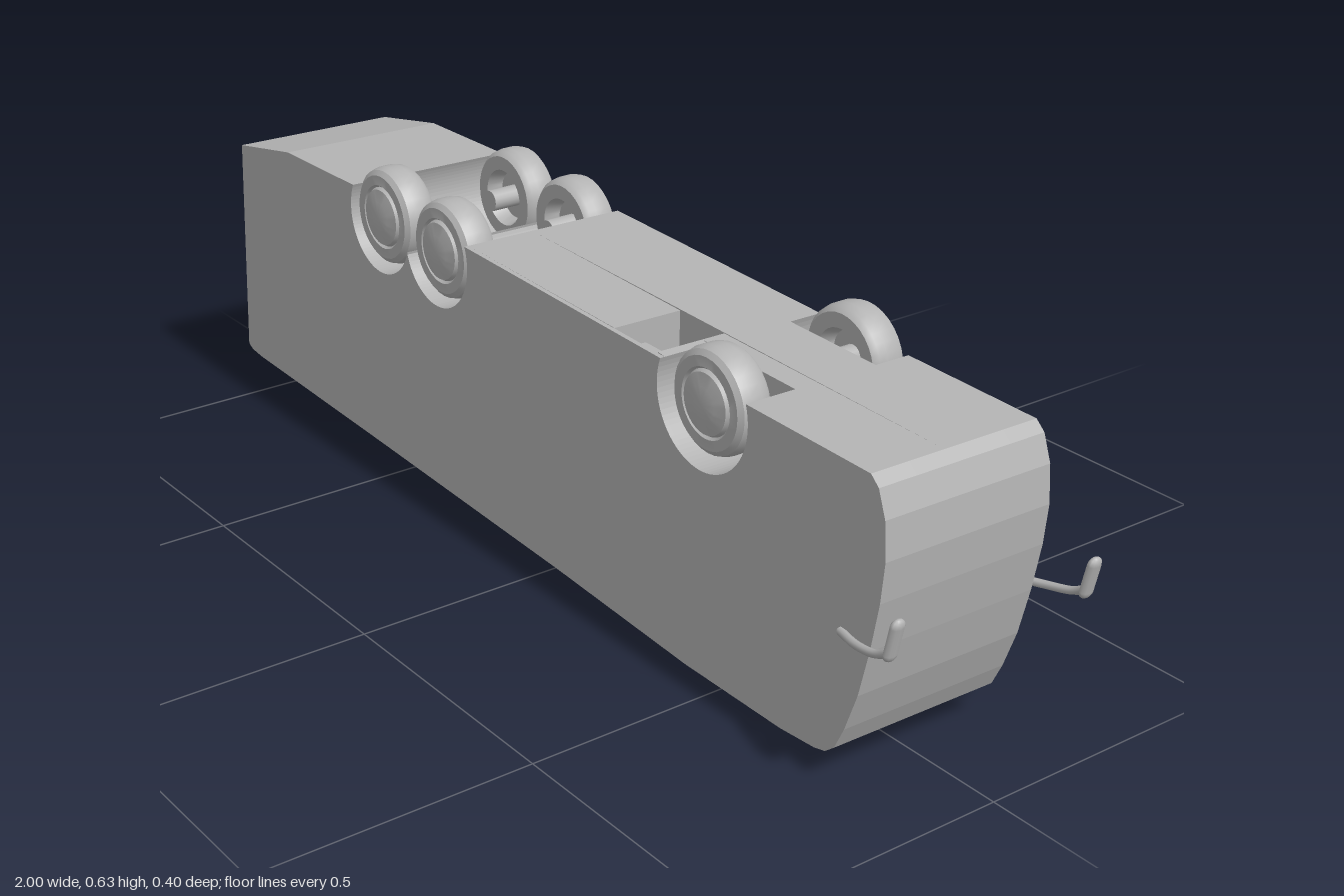
import * as THREE from 'three';
import { toCreasedNormals } from 'three/addons/utils/BufferGeometryUtils.js';

const rad = THREE.MathUtils.degToRad;

export function createModel() {
  const model = new THREE.Group();
  const grey = new THREE.MeshStandardMaterial({ color: 0xb4b4b4 });
  grey.name = 'grey';

  function add(parent, name, geometry, x = 0, y = 0, z = 0) {
    const mesh = new THREE.Mesh(geometry, grey);
    mesh.name = name;
    mesh.position.set(x, y, z);
    parent.add(mesh);
    return mesh;
  }

  // Side outline of the overturned coach, underside at the top
  function bodyShape(frontArch, stepDepth) {
    const s = new THREE.Shape();
    s.moveTo(-1, 0.11);
    s.lineTo(-0.987, 0.54);
    s.lineTo(-0.8, 0.575);
    s.absarc(-0.465, 0.535, 0.101, rad(155), rad(341), false);
    s.absarc(-0.275, 0.53, 0.101, rad(199), rad(383), false);
    if (stepDepth) {
      s.lineTo(0.245, 0.558);
      s.lineTo(0.245, 0.558 - stepDepth);
      s.lineTo(0.36, 0.556 - stepDepth);
      s.lineTo(0.36, 0.556);
    }
    if (frontArch) s.absarc(0.483, 0.513, 0.113, rad(159), rad(380), false);
    const nose = [[0.87, 0.546], [0.888, 0.53], [0.905, 0.485], [0.911, 0.42], [0.905, 0.35], [0.89, 0.265],
      [0.87, 0.18], [0.845, 0.11], [0.825, 0.068], [0.805, 0.052], [0.78, 0.046], [0.7, 0.04]];
    const roof = [[0.46, 0.041], [0.1, 0.06], [-0.48, 0.082], [-0.95, 0.098], [-0.985, 0.102]];
    [...nose, ...roof].forEach(([x, y]) => s.lineTo(x, y));
    return s;
  }

  // Body built in slices across its width: arches and entry steps are cut per slice
  const body = new THREE.Group();
  body.name = 'body';
  body.rotation.set(-0.012, -0.004, 0);
  const slices = [
    [-0.165, -0.095, true, 0],
    [-0.095, 0.024, false, 0],
    [0.024, 0.069, false, 0.12],
    [0.069, 0.094, true, 0.12],
    [0.094, 0.158, true, 0.04],
    [0.158, 0.167, true, 0],
  ];
  for (const [z0, z1, arch, step] of slices) {
    const g = new THREE.ExtrudeGeometry(bodyShape(arch, step), { depth: z1 - z0, bevelEnabled: false, curveSegments: 24 });
    add(body, 'bodySlice', g, 0, 0, z0);
  }
  model.add(body);

  // Tapered block: corners pulled in toward the low end
  function taperedBlock(top, bottom, zTop, zBottom) {
    const g = new THREE.BoxGeometry(1, 1, 1);
    const p = g.attributes.position;
    for (let i = 0; i < p.count; i++) {
      const up = p.getY(i) > 0;
      const [x, y] = (up ? top : bottom)[p.getX(i) > 0 ? 1 : 0];
      const half = up ? zTop : zBottom;
      p.setXYZ(i, x, y, p.getZ(i) > 0 ? half : -half);
    }
    g.computeVertexNormals();
    return g;
  }

  // Roof unit with its central divider
  add(body, 'roofUnit', taperedBlock([[-0.49, 0.09], [0.13, 0.064]], [[-0.41, 0.028], [0.005, 0.012]], 0.128, 0.094));
  add(body, 'roofDivider', taperedBlock([[-0.255, 0.07], [-0.16, 0.068]], [[-0.225, 0.002], [-0.195, 0.001]], 0.125, 0.092));

  // Marker lamps along the front and rear roof edges
  for (const z of [-0.15, -0.075, 0, 0.075, 0.15]) {
    add(body, 'frontMarker', new THREE.BoxGeometry(0.03, 0.008, 0.014), 0.72, 0.042, z);
  }
  for (const z of [-0.14, 0.14]) {
    add(body, 'rearMarker', new THREE.BoxGeometry(0.03, 0.016, 0.025), -0.968, 0.1, z);
  }

  // Wheel: dished inside, domed hub outside
  const profile = [[0, -0.005], [0.045, -0.005], [0.054, -0.033], [0.08, -0.033], [0.088, -0.024], [0.091, -0.01],
    [0.091, 0.012], [0.087, 0.025], [0.078, 0.032], [0.06, 0.032], [0.056, 0.027], [0.052, 0.034], [0.03, 0.039], [0, 0.041]];
  const wheelGeo = toCreasedNormals(
    new THREE.LatheGeometry(profile.map(([r, h]) => new THREE.Vector2(r, h)), 32), 0.6);
  const stubGeo = new THREE.CylinderGeometry(0.02, 0.02, 0.062, 16);

  function wheel(name, x, y, z) {
    const g = new THREE.Group();
    g.name = name;
    add(g, 'tyreAndHub', wheelGeo);
    add(g, 'axleStub', stubGeo, 0, -0.033, 0);
    g.rotation.x = z > 0 ? Math.PI / 2 : -Math.PI / 2;
    g.position.set(x, y, z);
    model.add(g);
  }
  wheel('rearWheel', -0.47, 0.54, 0.119);
  wheel('rearWheel', -0.468, 0.522, -0.15);
  wheel('middleWheel', -0.276, 0.533, 0.119);
  wheel('middleWheel', -0.28, 0.518, -0.15);
  wheel('frontWheel', 0.478, 0.511, 0.119);
  wheel('frontWheel', 0.49, 0.521, -0.147);

  // Mirrors on curved arms
  function mirror(name, x, y, side, z) {
    const g = new THREE.Group();
    g.name = name;
    const path = new THREE.CatmullRomCurve3([[0, 0, 0], [0.05, 0.004, 0.014], [0.1, 0.014, 0.02], [0.125, 0.028, 0.02]]
      .map(([a, b, c]) => new THREE.Vector3(a, b, c * side)));
    add(g, 'mirrorArm', new THREE.TubeGeometry(path, 12, 0.007, 8));
    const head = add(g, 'mirrorHead', new THREE.CapsuleGeometry(0.014, 0.05, 4, 10), 0.132, 0.051, 0.018 * side);
    head.scale.x = 0.6;
    head.rotation.z = -0.22;
    g.position.set(x, y, z);
    model.add(g);
  }
  mirror('leftMirror', 0.825, 0.273, 1, 0.168);
  mirror('rightMirror', 0.855, 0.268, -1, -0.168);

  return model;
}
